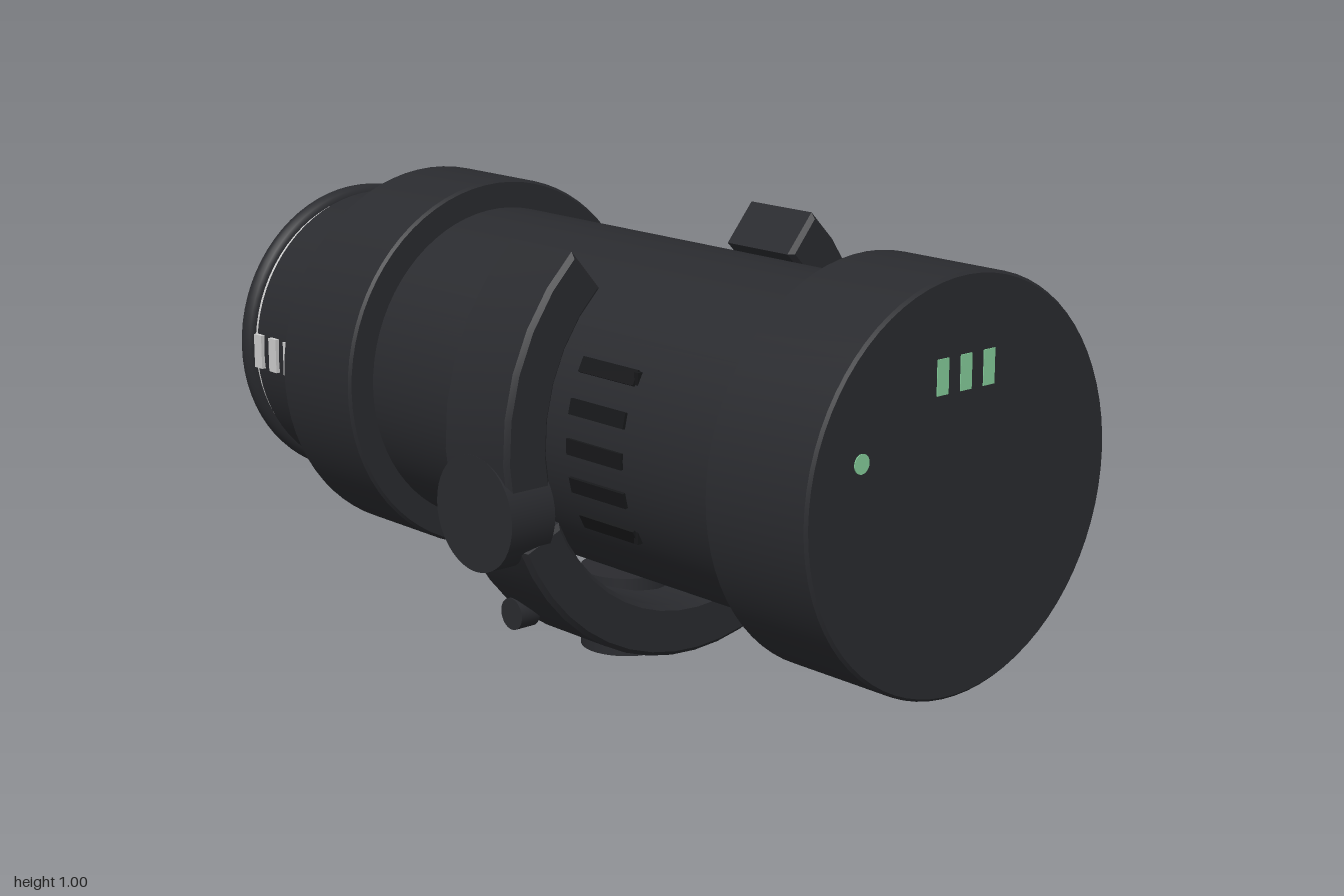
import * as THREE from 'three';
import { toCreasedNormals } from 'three/addons/utils/BufferGeometryUtils.js';

const CX = -0.095, CY = 0.567; // barrel axis
const paint = (color) => new THREE.MeshStandardMaterial({ color });
const dark = paint(0x2a2b2f), black = paint(0x17181a), green = paint(0x86cf9c), grey = paint(0xcccccc);

export function createModel() {
  const group = new THREE.Group();
  const barrel = new THREE.Group(); // everything placed relative to the axis
  barrel.name = 'barrel';
  barrel.position.set(CX, CY, 0);
  group.add(barrel);

  const add = (name, geo, mat, x = 0, y = 0, z = 0, parent = barrel) => {
    const m = new THREE.Mesh(geo, mat);
    m.name = name;
    m.position.set(x, y, z);
    parent.add(m);
    return m;
  };

  // Closed drum along z with slightly bevelled rims
  const drum = (name, r, z0, z1, mat = dark, b = 0.006) => {
    const pts = [[0, z0], [r - b, z0], [r, z0 + b], [r, z1 - b], [r - b, z1], [0, z1]]
      .map(([a, c]) => new THREE.Vector2(a, c));
    const geo = new THREE.LatheGeometry(pts, 72).rotateX(Math.PI / 2);
    return add(name, toCreasedNormals(geo, 0.5), mat);
  };
  drum('frontCap', 0.43, 0.72, 0.998);
  drum('body', 0.365, -0.46, 0.74);
  drum('rearCollar', 0.43, -0.70, -0.44);
  drum('neck', 0.343, -0.94, -0.68);
  drum('lens', 0.335, -0.99, -0.93, grey, 0.003);
  add('lensRing', new THREE.TorusGeometry(0.331, 0.024, 16, 72), dark, 0, 0, -0.976);

  // Front indicators
  for (let i = -1; i <= 1; i++) {
    add('indicatorBar', new THREE.BoxGeometry(0.032, 0.072, 0.006), green, i * 0.066, 0.233, 0.997);
  }
  add('indicatorDot', new THREE.CylinderGeometry(0.02, 0.02, 0.006, 24).rotateX(Math.PI / 2),
    green, -0.285, 0.1, 0.997);

  // Pale marks on the neck
  for (let i = 0; i < 4; i++) {
    add('neckMark', new THREE.BoxGeometry(0.016, 0.08, 0.03), grey, -0.343, 0, -0.74 - i * 0.06);
  }

  // Clamp: arc sectors extruded along z
  const arc = (name, from, to, segments) => {
    const s = new THREE.Shape();
    const a0 = THREE.MathUtils.degToRad(from), a1 = THREE.MathUtils.degToRad(to);
    for (let i = 0; i <= segments; i++) {
      const a = a0 + (a1 - a0) * i / segments;
      s[i ? 'lineTo' : 'moveTo'](0.53 * Math.cos(a), 0.53 * Math.sin(a));
    }
    for (let i = segments; i >= 0; i--) {
      const a = a0 + (a1 - a0) * i / segments;
      s.lineTo(0.418 * Math.cos(a), 0.418 * Math.sin(a));
    }
    const geo = new THREE.ExtrudeGeometry(s, {
      depth: 0.19, bevelEnabled: true, bevelThickness: 0.01, bevelSize: 0.01, bevelOffset: -0.01, bevelSegments: 1,
    });
    return add(name, toCreasedNormals(geo, 0.4), dark, 0, 0, 0.04);
  };
  arc('leftArm', -12, 49.5, 6);
  arc('rightArm', 130.5, 192, 6);
  arc('lowerClamp', 203, 337, 18);

  // Cylinder lying along x
  const rodX = (name, r, x0, x1, y, z) =>
    add(name, new THREE.CylinderGeometry(r, r, x1 - x0, 40).rotateZ(Math.PI / 2), dark, (x0 + x1) / 2, y, z);

  for (const s of [-1, 1]) {
    // Hinge barrels joining the arms to the lower clamp
    rodX('hinge', 0.125, s * 0.473 - 0.057, s * 0.473 + 0.057, -0.137, 0.132);

    // Cooling vents
    for (let i = -2; i <= 2; i++) {
      const y = i * 0.083;
      const vent = add('vent', new THREE.BoxGeometry(0.012, 0.034, 0.17), black,
        s * Math.sqrt(0.365 ** 2 - y * y), y, 0.325);
      vent.rotation.z = s * Math.asin(y / 0.365);
    }
    add('ventFrame', new THREE.BoxGeometry(0.012, 0.36, 0.012), black, s * 0.325, 0, 0.412).visible = true;

    // Lugs and pins under the clamp
    const lug = add('lug', new THREE.BoxGeometry(0.17, 0.08, 0.09), dark, s * 0.275, -0.39, 0.06);
    lug.rotation.z = s * 0.62;
    rodX('pin', 0.035, s * 0.36 - 0.025, s * 0.36 + 0.025, -0.402, 0.07);
  }

  // Side knob
  rodX('knob', 0.145, 0.505, 0.72, -0.118, 0.128);

  // Foot, its cross bolt and the guide rod
  add('foot', new THREE.CylinderGeometry(0.105, 0.105, 0.18, 40), dark, 0, 0.09 - CY, 0.005);
  rodX('crossBolt', 0.07, 0, 0.265, 0.1 - CY, 0.005);
  add('guideRod', new THREE.CylinderGeometry(0.028, 0.028, 0.52, 24).rotateX(Math.PI / 2),
    grey, 0.2, 0.202 - CY, -0.19);

  return group;
}
